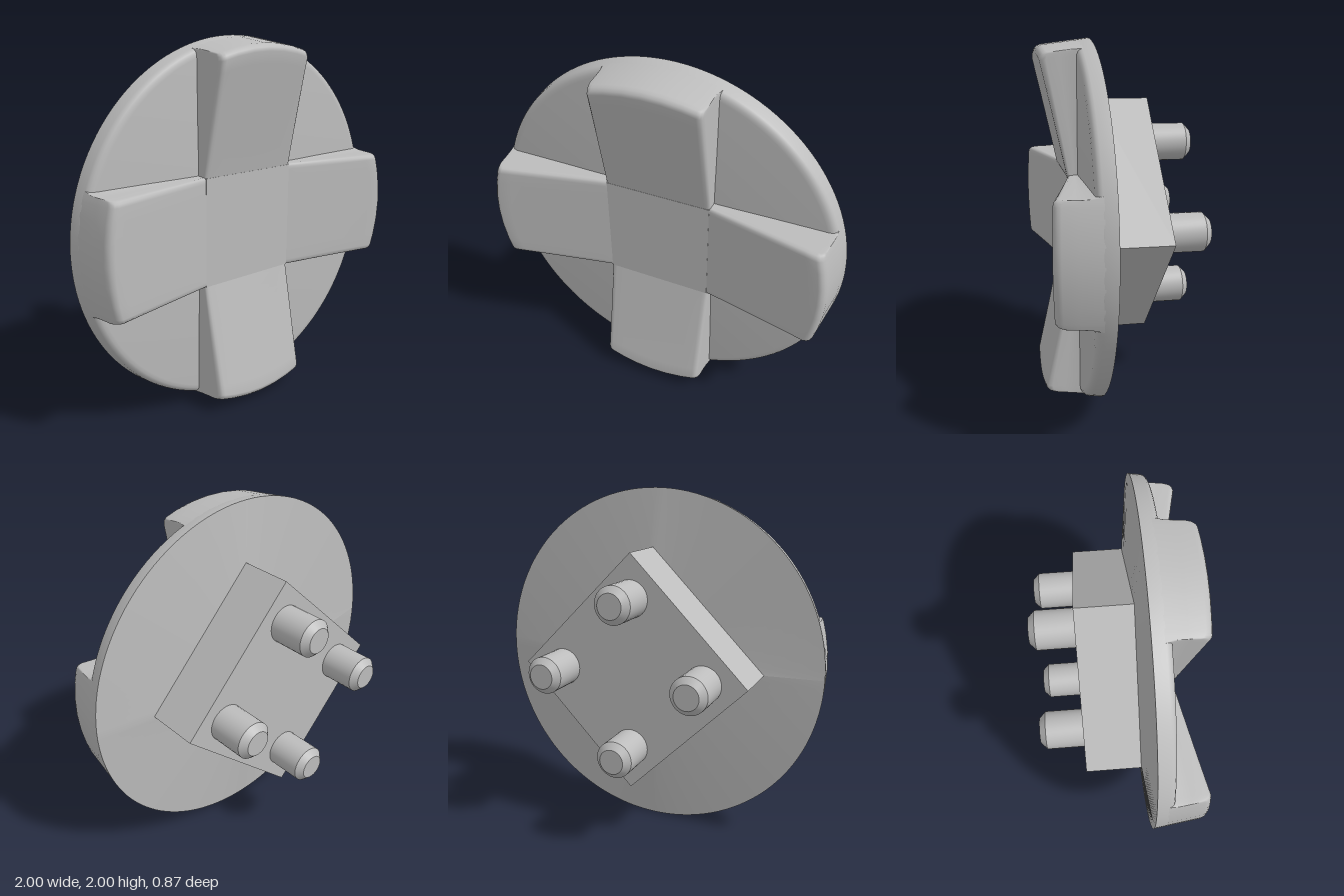
import * as THREE from 'three';
import { toCreasedNormals } from 'three/addons/utils/BufferGeometryUtils.js';

const rimRadius = (z) => 1 - 0.135 * (z - 0.14); // drafted outer wall
const topHeight = (y) => 0.29 + 0.145 * (y - 0.3) / 0.66; // arms rise outwards

// Revolve [radius, height] points about the z axis
function revolve(points, segments, direction = 1) {
  const g = new THREE.LatheGeometry(points.map(([r, h]) => new THREE.Vector2(r, h)), segments);
  g.rotateX(direction * Math.PI / 2);
  return toCreasedNormals(g, 0.6);
}

// One raised arm pointing to +y: a plane wrapped over side walls, top and end wall
function armGeometry() {
  const half = [[0.315, 0], [0.303, 0.3], [0.3, 0.55], [0.299, 0.86], [0.294, 0.94],
    [0.284, 0.985], [0.268, 1], [0.2, 1], [0.1, 1]];
  const profile = [...half.map(([u, f]) => [-u, f]), [0, 1], ...half.slice().reverse()];
  const end = [[0, 0], [0.5, 0], [0.84, 0], [0.92, 0.005], [0.975, 0.016]];
  const topRows = 10, base = 0.2;
  const rows = end.length + topRows;
  const g = new THREE.PlaneGeometry(1, 1, profile.length - 1, rows);
  const p = g.attributes.position;
  for (let r = 0; r <= rows; r++) {
    profile.forEach(([u, f], c) => {
      const tip = Math.sqrt(0.93 * 0.93 - u * u);
      const [rise, inset] = end[r] || [1, 0.035];
      const t = r < end.length ? 1 : 1 - (r - end.length) / topRows;
      const along = 0.29 + t * (tip - 0.29);
      const z = base + f * rise * (topHeight(along) - base);
      const outer = Math.sqrt(rimRadius(z) ** 2 - u * u) - inset;
      p.setXYZ(r * profile.length + c, u, 0.29 + t * (outer - 0.29), z);
    });
  }
  g.computeVertexNormals();
  return g;
}

export function createModel() {
  const group = new THREE.Group();
  const grey = new THREE.MeshStandardMaterial({ color: 0xbcbcbc });
  grey.name = 'plain grey';
  const add = (name, geometry, x = 0, y = 1, z = 0) => {
    const mesh = new THREE.Mesh(geometry, grey);
    mesh.name = name;
    mesh.position.set(x, y, z);
    group.add(mesh);
    return mesh;
  };

  // Round plate with a softened front edge
  add('disc', revolve([[1, 0.14], [0.991, 0.205], [0.986, 0.217], [0.976, 0.227],
    [0.963, 0.233], [0.945, 0.235], [0, 0.235]], 128));

  // Shallow back, running from the square block out to the rim
  const back = new THREE.RingGeometry(0.5, 1, 128, 1);
  const p = back.attributes.position;
  for (let i = 0; i < p.count; i++) {
    const x = p.getX(i), y = p.getY(i), r = Math.hypot(x, y);
    if (r > 0.9) p.setZ(i, -0.14);
    else {
      const k = 0.67 / (Math.abs(x) + Math.abs(y));
      p.setXYZ(i, x * k, y * k, -0.1);
    }
  }
  back.rotateY(Math.PI);
  back.computeVertexNormals();
  add('discBack', back);

  // Cross: flat centre and four rising arms
  add('crossCentre', new THREE.BoxGeometry(0.59, 0.59, 0.1), 0, 1, 0.24);
  const arm = armGeometry();
  ['topArm', 'rightArm', 'bottomArm', 'leftArm'].forEach((name, i) => {
    add(name, arm).rotation.z = i * Math.PI / 2;
  });
  group.getObjectByName('rightArm').name = 'rightSideArm';
  group.getObjectByName('leftArm').name = 'leftSideArm';

  // Square mounting block standing on its corner
  const block = new THREE.CylinderGeometry(0.675, 0.675, 0.3, 4);
  block.rotateX(Math.PI / 2);
  add('mountingBlock', toCreasedNormals(block, 0.5), 0, 1, -0.05);

  // Four chamfered pegs, one near each corner of the block
  const peg = revolve([[0.105, 0], [0.105, 0.205], [0.07, 0.24], [0, 0.24]], 32, -1);
  for (let i = 0; i < 4; i++) {
    const a = i * Math.PI / 2;
    add('peg' + (i + 1), peg, 0.427 * Math.cos(a), 1 + 0.427 * Math.sin(a), -0.2);
  }
  return group;
}
